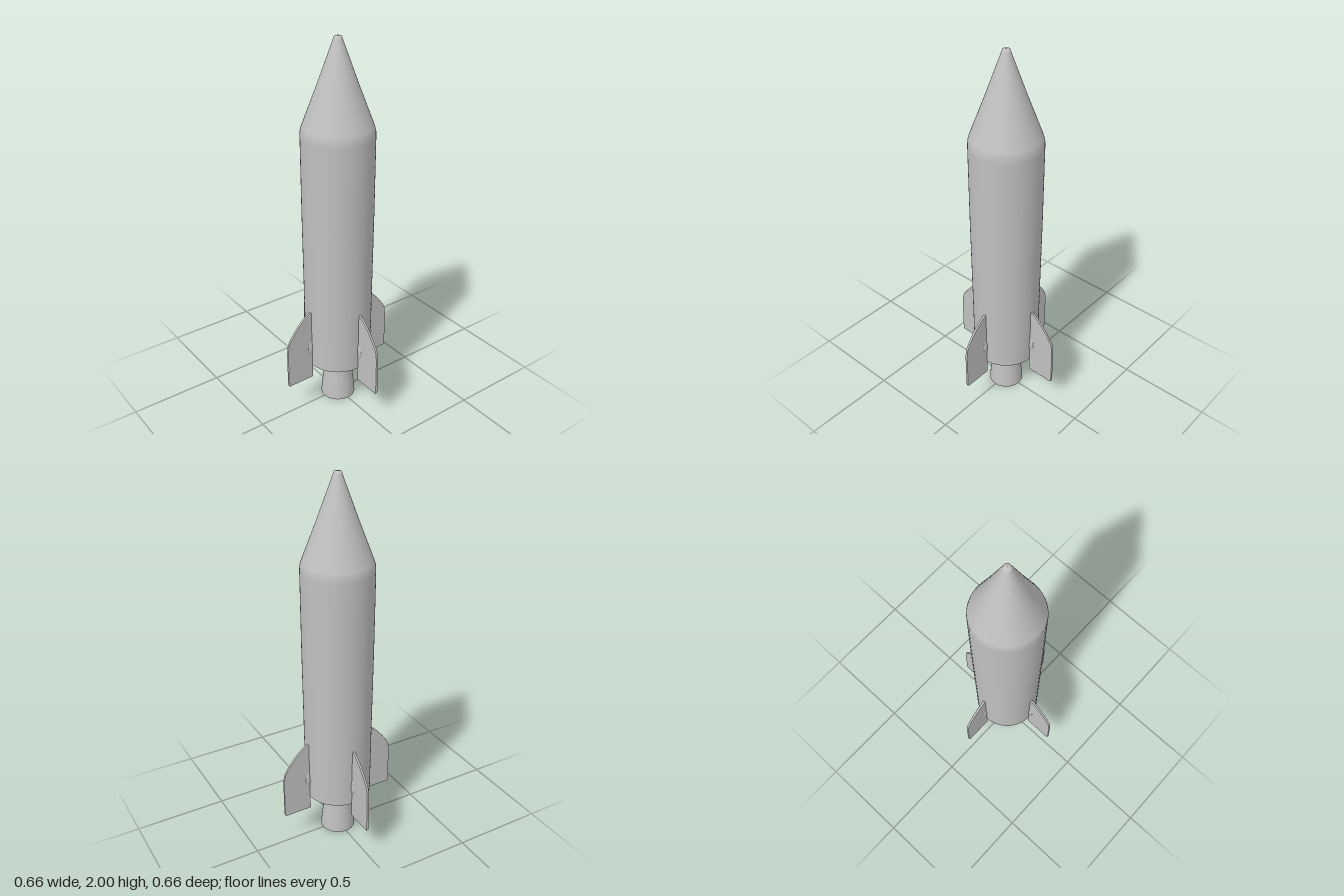
import * as THREE from 'three';

export function createModel() {
  const rocket = new THREE.Group();
  rocket.name = 'rocket';
  const grey = new THREE.MeshStandardMaterial({ color: 0xc0c0c0 });
  grey.name = 'plain grey';

  const add = (name, geometry, parent = rocket) => {
    const mesh = new THREE.Mesh(geometry, grey);
    mesh.name = name;
    parent.add(mesh);
    return mesh;
  };
  // Profiles run from bottom to top on the outside
  const lathe = (points) =>
    new THREE.LatheGeometry(points.map(([r, y]) => new THREE.Vector2(r, y)), 56);

  // Hull: slightly tapered tube with a softened shoulder
  add('hull', lathe([[0.177, 0.25], [0.179, 0.6], [0.183, 1.1], [0.184, 1.52], [0.183, 1.545], [0.178, 1.565]]));
  add('noseCone', lathe([[0.178, 1.565], [0.1, 1.77], [0.022, 1.985]]));
  add('noseTip', lathe([[0.022, 1.985], [0.018, 1.997], [0, 2]]));

  // Recessed tail: rim, inner wall and bulkhead
  add('tailRim', lathe([[0.16, 0.25], [0.177, 0.25]]));
  add('tailWall', lathe([[0.16, 0.285], [0.16, 0.25]]));
  add('tailBulkhead', lathe([[0, 0.285], [0.16, 0.285]]));

  // Hollow engine bell
  add('nozzle', lathe([[0.093, 0], [0.09, 0.04], [0.08, 0.13], [0.071, 0.2], [0.068, 0.29]]));
  add('nozzleLip', lathe([[0.083, 0], [0.093, 0]]));
  add('nozzleInside', lathe([[0, 0.2], [0.05, 0.19], [0.07, 0.13], [0.083, 0]]));

  // Short struts bracing the engine
  for (let i = 0; i < 4; i++) {
    const strut = add('engineStrut', new THREE.CylinderGeometry(0.014, 0.014, 0.11, 10).rotateZ(Math.PI / 2));
    const a = Math.PI / 4 + (i * Math.PI) / 2;
    strut.position.set(0.115 * Math.cos(a), 0.267, -0.115 * Math.sin(a));
    strut.rotation.y = a;
  }

  // Fin outline, inset by the bevel
  const outline = new THREE.Shape();
  outline.moveTo(0.176, 0.175);
  outline.lineTo(0.32, 0.175);
  outline.quadraticCurveTo(0.325, 0.175, 0.325, 0.19);
  outline.lineTo(0.325, 0.37);
  outline.quadraticCurveTo(0.323, 0.425, 0.312, 0.443);
  outline.quadraticCurveTo(0.25, 0.54, 0.19, 0.575);
  outline.lineTo(0.176, 0.58);
  outline.closePath();
  const finGeometry = new THREE.ExtrudeGeometry(outline, {
    depth: 0.006, bevelEnabled: true, bevelThickness: 0.004, bevelSize: 0.004, bevelSegments: 2, curveSegments: 8,
  }).translate(0, 0, -0.003);

  // Four fins, each with a rounded root bracket
  for (let i = 0; i < 4; i++) {
    const fin = new THREE.Group();
    fin.name = 'fin';
    add('finBlade', finGeometry, fin);
    const bracket = add('finBracket', new THREE.SphereGeometry(1, 14, 10), fin);
    bracket.scale.set(0.022, 0.05, 0.013);
    bracket.position.set(0.182, 0.36, 0);
    fin.rotation.y = (i * Math.PI) / 2;
    if (i % 2 === 0) fin.position.z = -0.008;
    rocket.add(fin);
  }
  return rocket;
}
